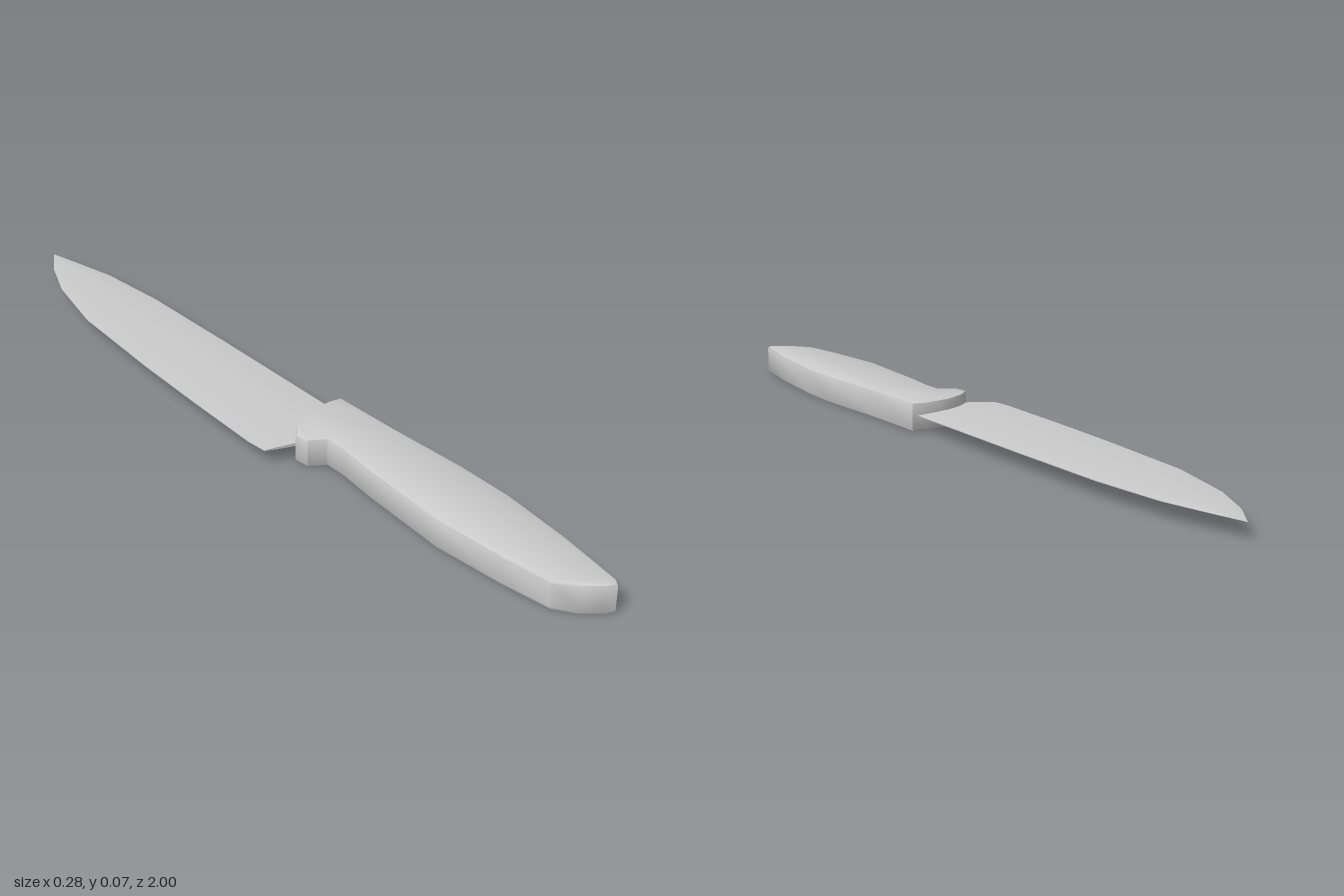
import * as THREE from 'three';
import { toCreasedNormals } from 'three/addons/utils/BufferGeometryUtils.js';

const material = new THREE.MeshStandardMaterial({ color: 0xcccccc });
const HEIGHT = 0.067, BEVEL = 0.006;

// Handle: outline in (x, z), extruded upwards with softly rounded edges
function makeHandle() {
  const outline = [
    [-0.07, 0.19], [-0.05, 0.165], [-0.025, 0.145], [0.01, 0.126], [0.045, 0.115], [0.08, 0.11], [0.11, 0.113],
    [0.12, 0.29], [0.137, 0.5], [0.14, 0.64], [0.127, 0.82], [0.105, 0.985], [0.095, 1],
    [0.075, 0.993], [0.035, 0.965], [0, 0.92], [-0.021, 0.8], [-0.04, 0.63], [-0.032, 0.4],
    [-0.024, 0.3], [-0.026, 0.245], [-0.064, 0.225],
  ];
  const shape = new THREE.Shape(outline.map(([x, z]) => new THREE.Vector2(x, -z)));
  const geometry = new THREE.ExtrudeGeometry(shape, {
    depth: HEIGHT - 2 * BEVEL, bevelThickness: BEVEL, bevelSize: BEVEL,
    bevelOffset: -BEVEL, bevelSegments: 2,
  });
  geometry.rotateX(-Math.PI / 2).translate(0, BEVEL, 0);
  const handle = new THREE.Mesh(toCreasedNormals(geometry, 0.6), material);
  handle.name = 'handle';
  return handle;
}

// Blade: thin lens-like cross-sections lofted from the tip to the slanted heel
function makeBlade() {
  // [left x, left z, right x, right z, thickness factor]
  const stations = [
    [0, -1, 0, -1, 0.1], [-0.046, -0.92, 0.022, -0.92, 0.5], [-0.09, -0.8, 0.052, -0.8, 0.8],
    [-0.126, -0.61, 0.073, -0.61, 1], [-0.138, -0.32, 0.084, -0.32, 1], [-0.141, -0.1, 0.09, -0.1, 1],
    [-0.141, 0.11, 0.096, 0.11, 1], [-0.135, 0.165, 0.096, 0.22, 0.9],
  ];
  // [position across the blade, half thickness]
  const top = [[0, 0.0008], [0.12, 0.0028], [0.35, 0.0045], [0.7, 0.0045], [0.92, 0.003], [1, 0.001]];
  const ring = [...top, ...top.slice().reverse().map(([t, h]) => [t, -h])];
  const n = ring.length, positions = [], index = [];
  stations.forEach(([xl, zl, xr, zr, k], i) => {
    for (const [t, h] of ring) {
      positions.push(xl + (xr - xl) * t, 0.036 + h * k, zl + (zr - zl) * t);
    }
    if (i === 0) return;
    for (let j = 0; j < n; j++) {
      const a = (i - 1) * n + j, b = (i - 1) * n + (j + 1) % n;
      index.push(a, a + n, b, b, a + n, b + n);
    }
  });
  // Heel face closing the last section
  const last = (stations.length - 1) * n;
  for (let j = 0; j < top.length - 1; j++) {
    const a = last + j, b = a + 1, c = last + n - 1 - j, d = c - 1;
    index.push(a, c, b, b, c, d);
  }
  const geometry = new THREE.BufferGeometry();
  geometry.setAttribute('position', new THREE.Float32BufferAttribute(positions, 3));
  geometry.setIndex(index);
  const blade = new THREE.Mesh(toCreasedNormals(geometry, 0.8), material);
  blade.name = 'blade';
  return blade;
}

export function createModel() {
  const knife = new THREE.Group();
  knife.name = 'knife';
  knife.add(makeHandle(), makeBlade());
  return knife;
}
